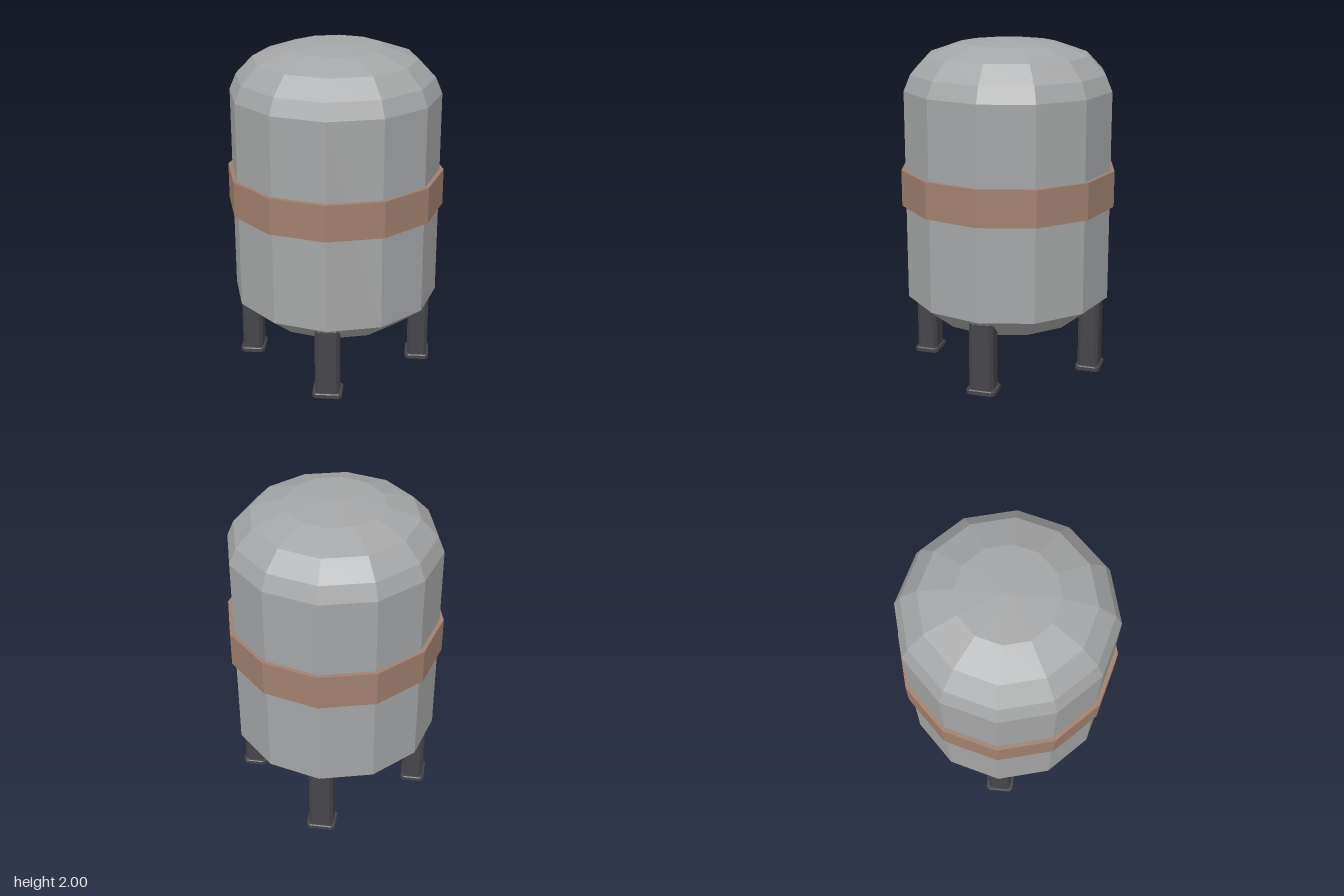
import * as THREE from 'three';

const material = (name, color) => {
  const m = new THREE.MeshStandardMaterial({ color, flatShading: true });
  m.name = name;
  return m;
};

// Upright block with chamfered vertical edges and a small bevel at both ends
function chamferedPost(halfW, halfD, cut, y0, y1, bevel) {
  const w = halfW - bevel, d = halfD - bevel;
  const shape = new THREE.Shape([
    [-w + cut, -d], [w - cut, -d], [w, -d + cut], [w, d - cut],
    [w - cut, d], [-w + cut, d], [-w, d - cut], [-w, -d + cut],
  ].map(([x, y]) => new THREE.Vector2(x, y)));
  const geometry = new THREE.ExtrudeGeometry(shape, {
    depth: y1 - y0 - 2 * bevel, bevelEnabled: true,
    bevelThickness: bevel, bevelSize: bevel, bevelSegments: 1,
  });
  return geometry.rotateX(-Math.PI / 2).translate(0, y0 + bevel, 0);
}

export function createModel() {
  const group = new THREE.Group();
  group.name = 'storageTank';
  const steel = material('grey steel', 0xa5a6a7);
  const copper = material('copper brown', 0xa1806f);
  const iron = material('dark iron', 0x46454a);

  const add = (name, geometry, mat, parent = group) => {
    const mesh = new THREE.Mesh(geometry, mat);
    mesh.name = name;
    parent.add(mesh);
    return mesh;
  };
  const lathe = (points) => new THREE.LatheGeometry(
    points.map(([r, y]) => new THREE.Vector2(r, y)), 12);

  // Twelve-sided vessel with domed top and tapered base
  add('tankBody', lathe([
    [0, 0.3], [0.36, 0.3], [0.455, 0.328], [0.623, 0.463], [0.623, 1.715],
    [0.583, 1.81], [0.483, 1.915], [0.288, 1.983], [0, 2],
  ]), steel);

  // Band around the middle
  add('band', lathe([[0.6, 1.033], [0.648, 1.033], [0.648, 1.25], [0.6, 1.25]]), copper);

  // Four legs with feet
  const legGeometry = chamferedPost(0.073, 0.063, 0.016, 0.02, 0.445, 0.007);
  const footGeometry = chamferedPost(0.088, 0.075, 0.016, 0, 0.032, 0.005);
  for (let i = 0; i < 4; i++) {
    const leg = new THREE.Group();
    leg.name = 'leg' + (i + 1);
    leg.rotation.y = i * Math.PI / 2;
    add('post', legGeometry, iron, leg).position.z = 0.522;
    add('foot', footGeometry, iron, leg).position.z = 0.522;
    group.add(leg);
  }

  // Small drain stub beside the left leg
  const stub = add('drainStub', new THREE.CylinderGeometry(0.017, 0.017, 0.06, 8), iron);
  stub.rotation.z = Math.PI / 2;
  stub.position.set(0.475, 0.36, 0.078);
  return group;
}
